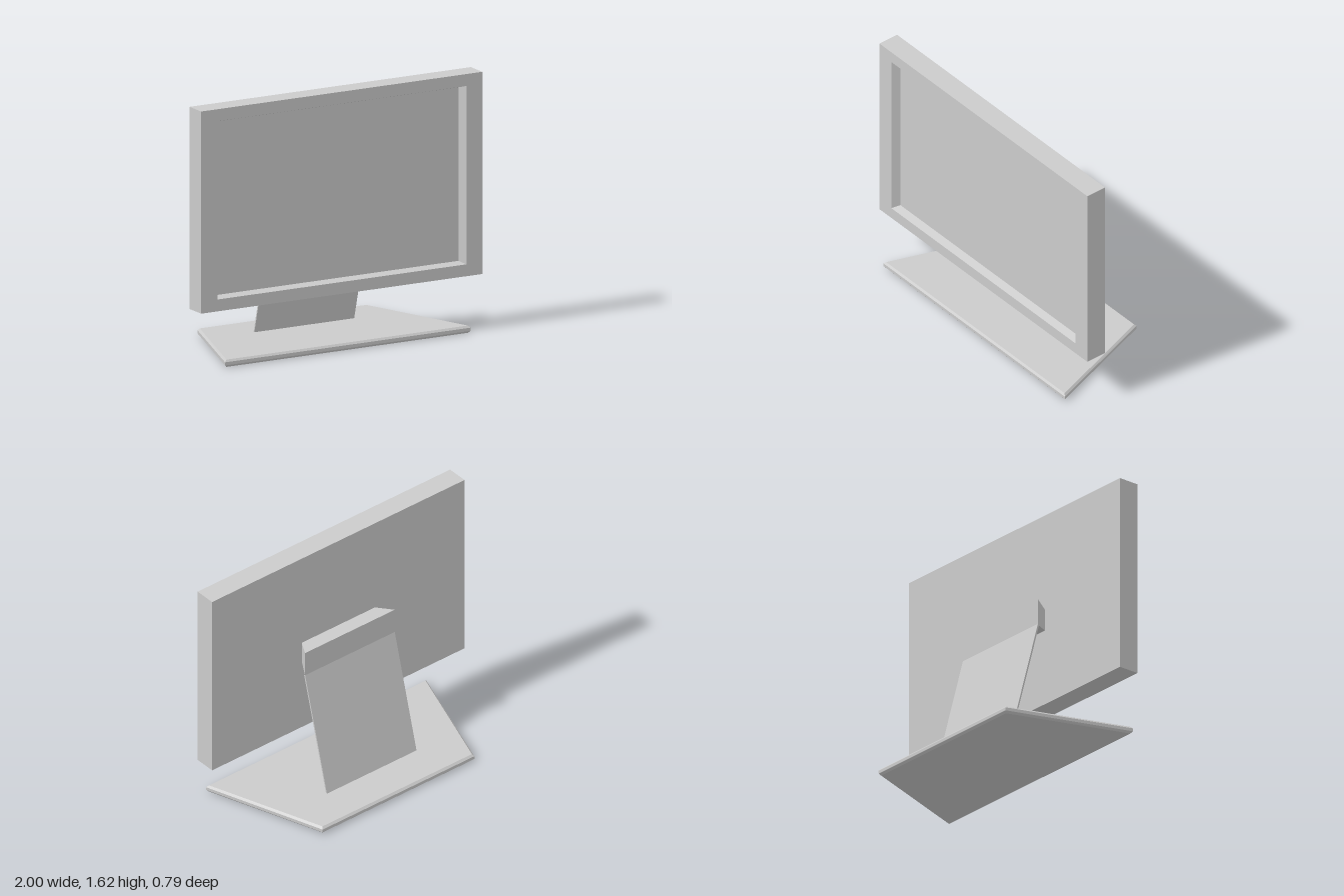
import * as THREE from 'three';

const material = new THREE.MeshStandardMaterial({ color: 0xcccccc });

function addPart(group, name, geometry) {
  const mesh = new THREE.Mesh(geometry, material);
  mesh.name = name;
  group.add(mesh);
  return mesh;
}

// Joins rectangles [halfWidth, bottom, top, z], given back to front, and caps both ends.
function loftRects(rects) {
  const loops = rects.map(([w, y0, y1, z]) => [[-w, y0, z], [w, y0, z], [w, y1, z], [-w, y1, z]]);
  const positions = [];
  const quad = (a, b, c, d) => positions.push(...a, ...b, ...c, ...a, ...c, ...d);
  for (let i = 0; i < loops.length - 1; i++) {
    for (let j = 0; j < 4; j++) {
      const k = (j + 1) % 4;
      quad(loops[i][j], loops[i][k], loops[i + 1][k], loops[i + 1][j]);
    }
  }
  const first = loops[0], last = loops[loops.length - 1];
  quad(first[3], first[2], first[1], first[0]);
  quad(...last);
  const geometry = new THREE.BufferGeometry();
  geometry.setAttribute('position', new THREE.Float32BufferAttribute(positions, 3));
  geometry.computeVertexNormals();
  return geometry;
}

const polygon = (points) => new THREE.Shape(points.map(([x, y]) => new THREE.Vector2(x, y)));

export function createModel() {
  const model = new THREE.Group();
  model.name = 'monitor';

  // Housing with a recessed screen and sloping bezel walls
  addPart(model, 'screenHousing', loftRects([
    [1, 0.34, 1.615, 0.18],
    [1, 0.34, 1.615, 0.32],
    [0.885, 0.415, 1.54, 0.32],
    [0.858, 0.43, 1.525, 0.27],
  ]));

  // Flared block joining the housing to the stand
  addPart(model, 'mountBlock', loftRects([
    [0.355, 0.82, 0.993, 0.068],
    [0.29, 0.837, 0.978, 0.18],
  ]));

  // Thin leaning stand plate: profile in (z, y), extruded across x
  const width = 0.71;
  const plate = new THREE.ExtrudeGeometry(
    polygon([[0.068, 0.825], [-0.145, 0.035], [-0.135, 0.035], [0.078, 0.82]]),
    { depth: width, bevelEnabled: false });
  plate.rotateY(-Math.PI / 2).translate(width / 2, 0, 0);
  // The rotation sends profile x to +z and the extrusion to -x
  addPart(model, 'standPlate', plate);

  // Tapered base with chamfered rims: outline in (x, z)
  const bevel = 0.013, height = 0.046;
  const base = new THREE.ExtrudeGeometry(
    polygon([[-0.592, -0.387], [0.592, -0.387], [0.858, 0.383], [-0.858, 0.383]]),
    { depth: height - 2 * bevel, bevelThickness: bevel, bevelSize: bevel, bevelSegments: 1 });
  base.rotateX(Math.PI / 2).translate(0, height - bevel, 0);
  addPart(model, 'base', base);

  return model;
}
